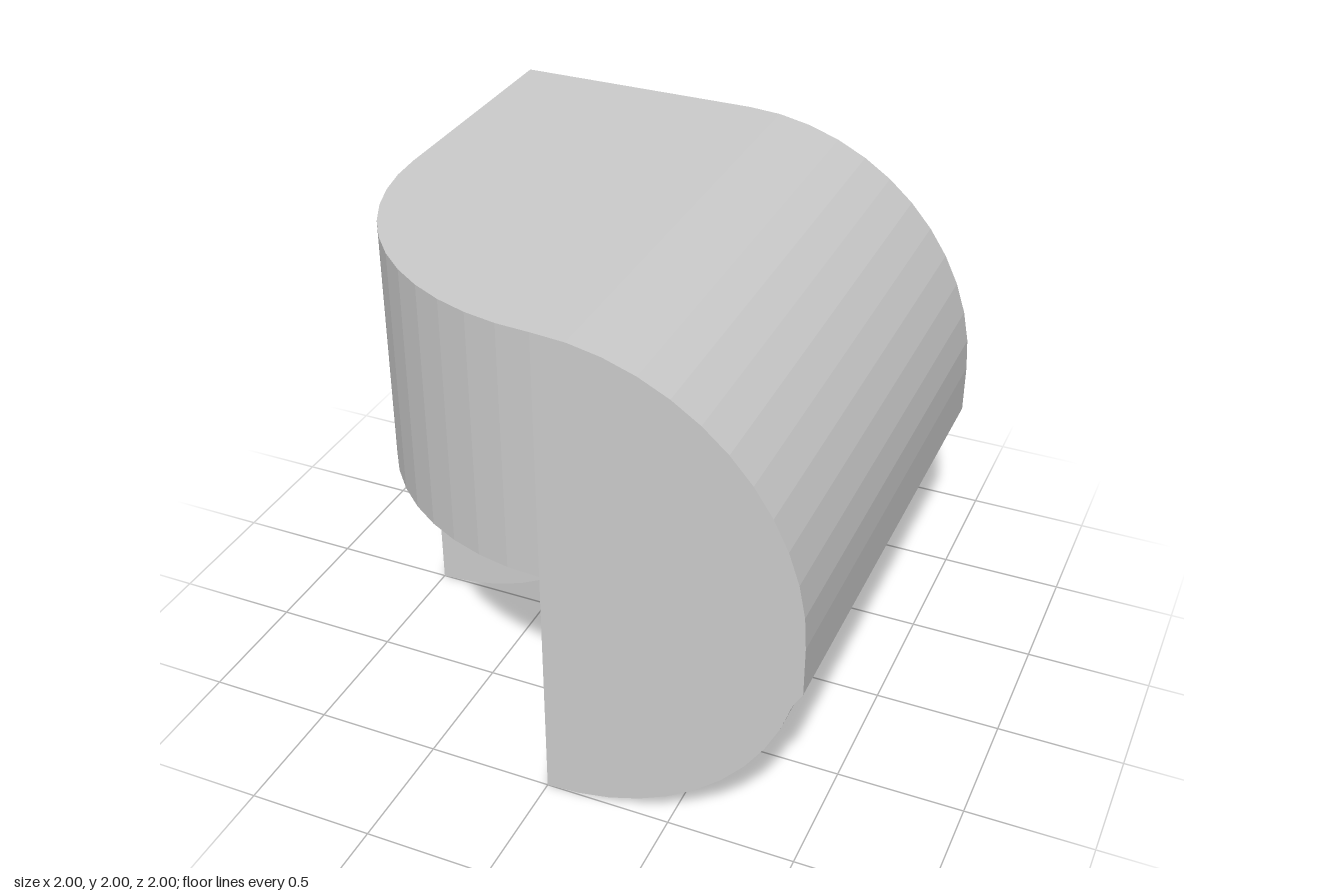
import * as THREE from 'three';

const HALF_PI = Math.PI / 2;
const material = new THREE.MeshStandardMaterial({ color: 0xcccccc, flatShading: true });

// Straight extrusion; curves get two steps per curve segment, so 12 facets per quarter turn
function extrude(name, shape, depth) {
  const geometry = new THREE.ExtrudeGeometry(shape, { depth, bevelEnabled: false, curveSegments: 6 });
  const mesh = new THREE.Mesh(geometry, material);
  mesh.name = name;
  return mesh;
}

export function createModel() {
  const model = new THREE.Group();
  model.name = 'roundedBlocks';

  // Full-depth half-round body, with a short flat on its outer side
  const step = HALF_PI / 12;
  const bodyShape = new THREE.Shape();
  bodyShape.moveTo(0, 2);
  bodyShape.lineTo(0, 0);
  for (let i = 1; i <= 10; i++) {
    bodyShape.lineTo(Math.sin(i * step), 1 - Math.cos(i * step));
  }
  bodyShape.lineTo(1, 0.8);
  bodyShape.lineTo(1, 1);
  bodyShape.absarc(0, 1, 1, 0, HALF_PI, false);
  const body = extrude('halfRoundBody', bodyShape, 2);
  body.position.z = -1;
  model.add(body);

  // Upper block with a rounded front corner, drawn in plan and raised upward
  const upperShape = new THREE.Shape();
  upperShape.moveTo(0, 1);
  upperShape.lineTo(-1, 1);
  upperShape.lineTo(-1, 0);
  upperShape.absarc(0, 0, 1, Math.PI, Math.PI + HALF_PI, false);
  const upper = extrude('roundedUpperBlock', upperShape, 1);
  upper.rotation.x = -HALF_PI;
  upper.position.y = 1;
  model.add(upper);

  // Lower quarter-round block, on the rear half only
  const lowerShape = new THREE.Shape();
  lowerShape.moveTo(-1, 1);
  lowerShape.lineTo(-1, 0);
  lowerShape.absarc(-1, 1, 1, -HALF_PI, 0, false);
  const lower = extrude('quarterRoundLowerBlock', lowerShape, 1);
  lower.position.z = -1;
  model.add(lower);

  return model;
}
